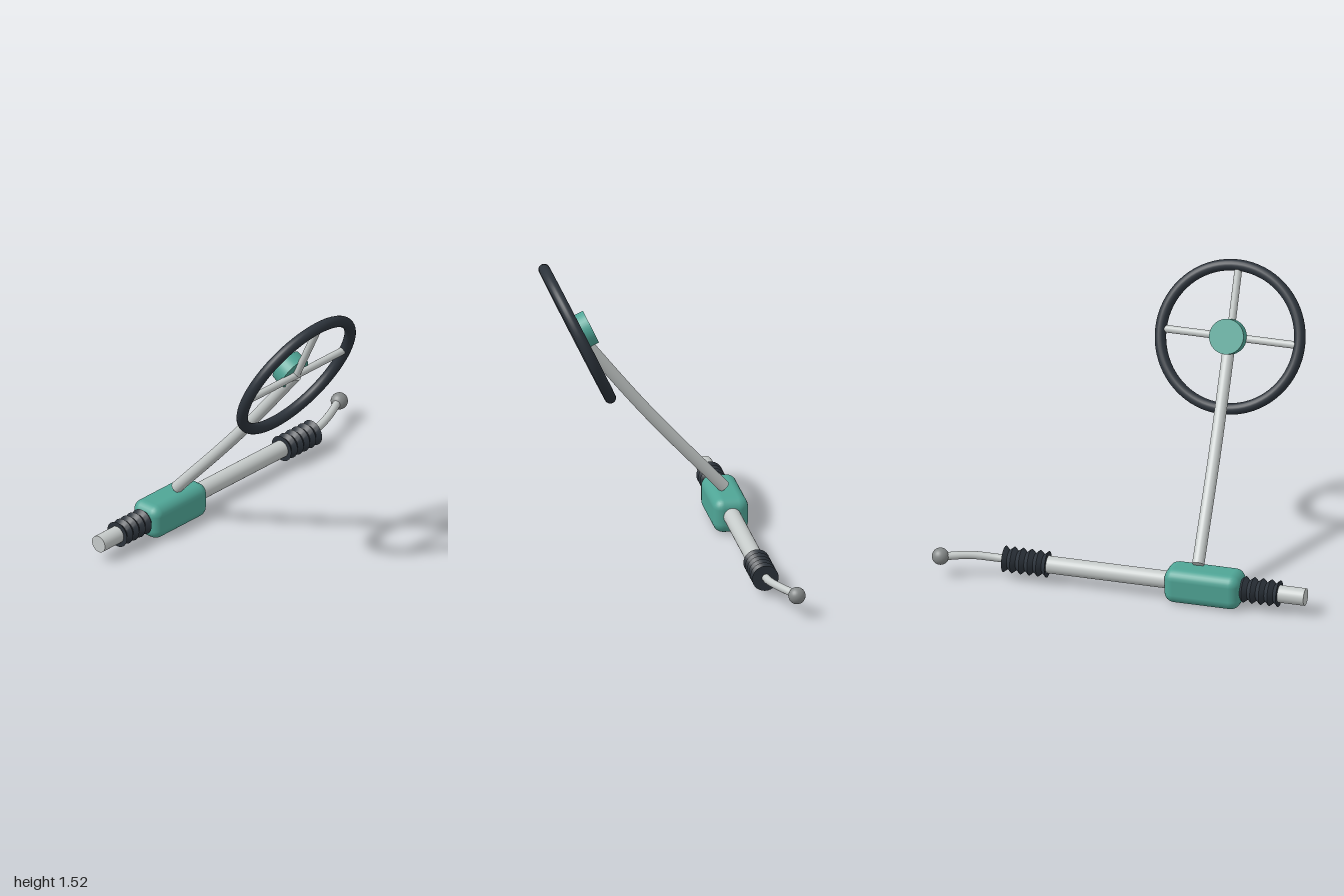
import * as THREE from 'three';
import { mergeGeometries, toCreasedNormals } from 'three/addons/utils/BufferGeometryUtils.js';
import { RoundedBoxGeometry } from 'three/addons/geometries/RoundedBoxGeometry.js';

const material = (name, color) => {
  const m = new THREE.MeshStandardMaterial({ color });
  m.name = name;
  return m;
};

const AXIS_Y = 0.1, AXIS_Z = -0.423; // centre line of the rack

// Tube along a smooth curve, closed with flat discs at both ends
function cappedTube(points, radius) {
  const curve = new THREE.CatmullRomCurve3(points.map(p => new THREE.Vector3(...p)));
  const parts = [new THREE.TubeGeometry(curve, 24, radius, 24)];
  for (const [t, sign] of [[0, -1], [1, 1]]) {
    const cap = new THREE.CircleGeometry(radius, 24);
    const dir = curve.getTangent(t).multiplyScalar(sign);
    cap.applyQuaternion(new THREE.Quaternion().setFromUnitVectors(new THREE.Vector3(0, 0, 1), dir));
    const p = curve.getPoint(t);
    cap.translate(p.x, p.y, p.z);
    parts.push(cap);
  }
  return mergeGeometries(parts);
}

// Pleated sleeve along x, starting and ending on a ridge
function bellows(length, pleats) {
  const profile = [new THREE.Vector2(0, -length / 2)];
  for (let i = 0; i <= pleats * 2; i++) {
    profile.push(new THREE.Vector2(i % 2 ? 0.05 : 0.07, length * (i / (pleats * 2) - 0.5)));
  }
  profile.push(new THREE.Vector2(0, length / 2));
  return toCreasedNormals(new THREE.LatheGeometry(profile, 28), 0.5).rotateZ(-Math.PI / 2);
}

export function createModel() {
  const silver = material('silver', 0xc6cbca);
  const teal = material('teal', 0x4fa596);
  const rubber = material('dark rubber', 0x2c333b);
  const steel = material('grey steel', 0x858989);

  const model = new THREE.Group();
  model.name = 'steeringAssembly';
  const add = (parent, name, geometry, mat, x = 0, y = 0, z = 0) => {
    const mesh = new THREE.Mesh(geometry, mat);
    mesh.name = name;
    mesh.position.set(x, y, z);
    parent.add(mesh);
    return mesh;
  };

  // Rack tube and gear housing
  add(model, 'rackTube', new THREE.CylinderGeometry(0.046, 0.046, 1.5, 28).rotateZ(Math.PI / 2),
    silver, -0.25, AXIS_Y, AXIS_Z);
  add(model, 'gearHousing', new RoundedBoxGeometry(0.413, 0.19, 0.187, 3, 0.055),
    teal, -0.453, 0.095, AXIS_Z);

  // Rubber bellows
  for (const [name, x] of [['rightBellows', -0.74], ['leftBellows', 0.517]]) {
    add(model, name, bellows(0.235, 5), rubber, x, AXIS_Y, AXIS_Z);
  }

  // Curved tie rod with ball end
  add(model, 'tieRod', cappedTube([
    [0.6, 0.1, -0.423], [0.7, 0.107, -0.434], [0.81, 0.118, -0.464], [0.95, 0.12, -0.53],
  ], 0.021), silver);
  add(model, 'ballJoint', new THREE.SphereGeometry(0.045, 28, 18), steel, 0.953, 0.12, -0.527);

  // Steering column, slightly bowed
  add(model, 'steeringColumn', cappedTube([
    [-0.413, 0.205, -0.412], [-0.383, 0.67, 0], [-0.353, 1.145, 0.377],
  ], 0.032), silver);

  // Tilted wheel: rim, hub and spokes
  const wheel = new THREE.Group();
  wheel.name = 'steeringWheel';
  wheel.position.set(-0.352, 1.148, 0.38);
  wheel.rotation.x = 0.436;
  model.add(wheel);
  add(wheel, 'rim', new THREE.TorusGeometry(0.376, 0.03, 18, 72), rubber);
  add(wheel, 'hub', new THREE.CylinderGeometry(0.093, 0.093, 0.07, 36).rotateX(Math.PI / 2),
    teal, 0, 0, -0.045);
  add(wheel, 'crossSpoke', new THREE.CylinderGeometry(0.02, 0.02, 0.74, 18).rotateZ(Math.PI / 2), silver);
  add(wheel, 'topSpoke', new THREE.CylinderGeometry(0.02, 0.02, 0.37, 18), silver, 0, 0.185, 0);

  return model;
}
